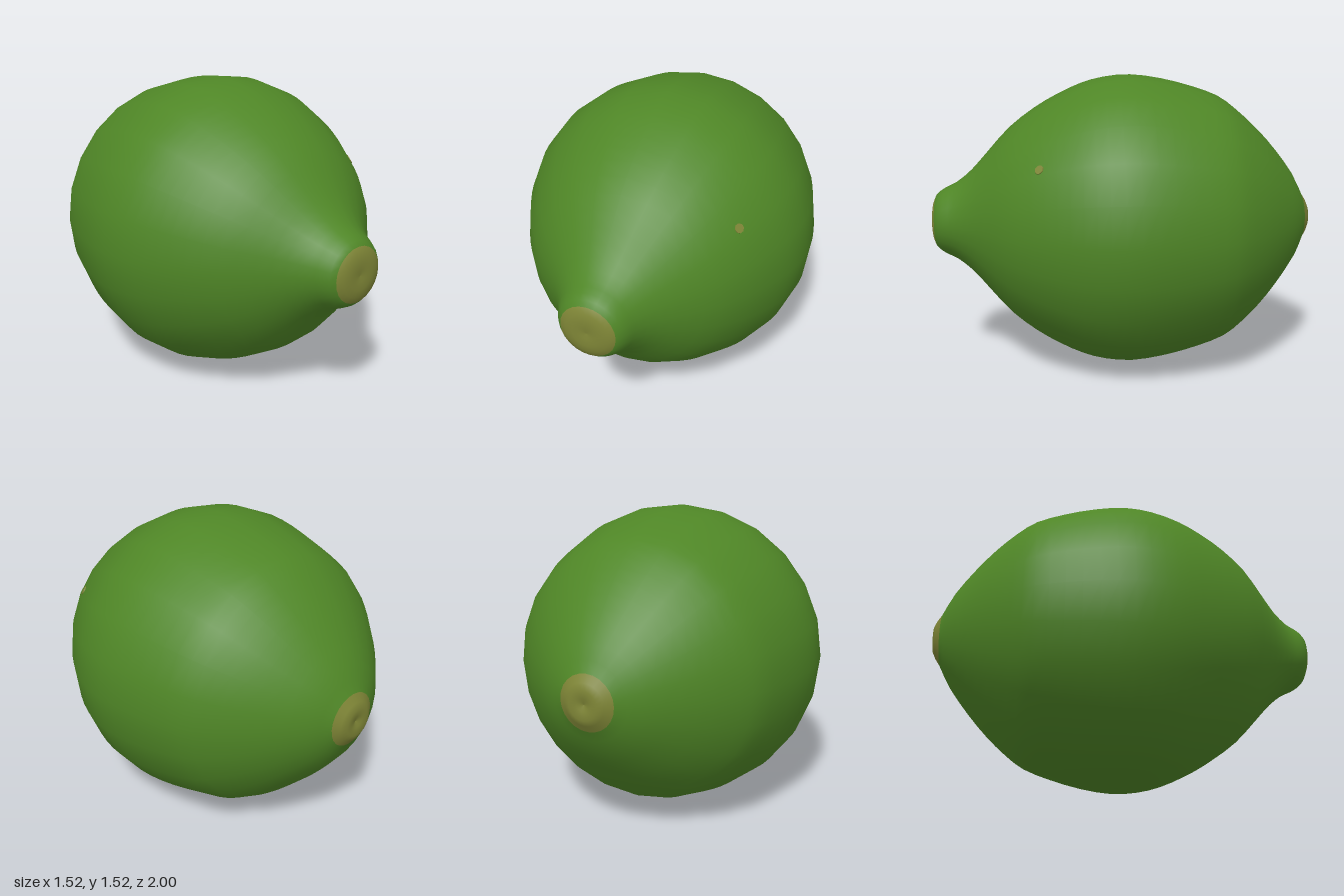
import * as THREE from 'three';

const SEGMENTS = 24;
const SUB = 2; // spline samples per profile span

// Fruit profile as [radius, z], from the blossom end (back) to the stem end (front)
const PROFILE = [
  [0, -0.985], [0.07, -1], [0.135, -0.962],
  [0.25, -0.9], [0.38, -0.8], [0.49, -0.7], [0.58, -0.6], [0.65, -0.5], [0.7, -0.36],
  [0.74, -0.2], [0.76, -0.04], [0.748, 0.1], [0.715, 0.22], [0.66, 0.34], [0.59, 0.46],
  [0.49, 0.59], [0.37, 0.7], [0.27, 0.79], [0.205, 0.87], [0.175, 0.93],
  [0.137, 0.978], [0.07, 0.998], [0, 0.992],
];
const BACK_CAP = 2, FRONT_CAP = 20; // profile points where the scars begin

export function createModel() {
  const group = new THREE.Group();
  group.name = 'lime';

  const green = new THREE.MeshStandardMaterial({ color: 0x4f8626 });
  green.name = 'lime green';
  const olive = new THREE.MeshStandardMaterial({ color: 0x7e8536 });
  olive.name = 'olive brown';

  // One smooth lathe, laid along z
  const curve = new THREE.SplineCurve(PROFILE.map(([r, z]) => new THREE.Vector2(r, z)));
  const points = curve.getPoints((PROFILE.length - 1) * SUB);
  points.forEach((p) => { p.x = Math.max(0, p.x); });
  const whole = new THREE.LatheGeometry(points, SEGMENTS);
  whole.rotateX(Math.PI / 2);
  whole.translate(0, 0.76, 0);

  // Takes a band of the lathe while keeping its shared smooth normals
  const rows = points.length;
  const addBand = (name, from, to, material) => {
    const geometry = whole.clone();
    const index = [];
    const source = whole.index.array;
    for (let k = 0; k < source.length; k += 3) {
      const tri = [source[k], source[k + 1], source[k + 2]];
      const row = Math.min(...tri.map((v) => v % rows));
      if (row >= from * SUB && row < to * SUB) index.push(...tri);
    }
    geometry.setIndex(index);
    const mesh = new THREE.Mesh(geometry, material);
    mesh.name = name;
    group.add(mesh);
    return mesh;
  };
  addBand('blossomScar', 0, BACK_CAP, olive);
  const skin = addBand('skin', BACK_CAP, FRONT_CAP, green);
  addBand('stemScar', FRONT_CAP, PROFILE.length - 1, olive);

  // Small blemish seated on the skin
  const normal = new THREE.Vector3(0.71, 0.465, 0.53).normalize();
  const target = new THREE.Vector3(0.52, 1.1, 0.43);
  const ray = new THREE.Raycaster(target.clone().addScaledVector(normal, 1), normal.clone().negate());
  const hit = ray.intersectObject(skin)[0];
  const spot = new THREE.Mesh(new THREE.CylinderGeometry(0.023, 0.025, 0.008, 8), olive);
  spot.name = 'blemish';
  const facing = hit ? hit.face.normal : normal;
  spot.position.copy(hit ? hit.point : target);
  spot.quaternion.setFromUnitVectors(new THREE.Vector3(0, 1, 0), facing);
  group.add(spot);

  return group;
}
